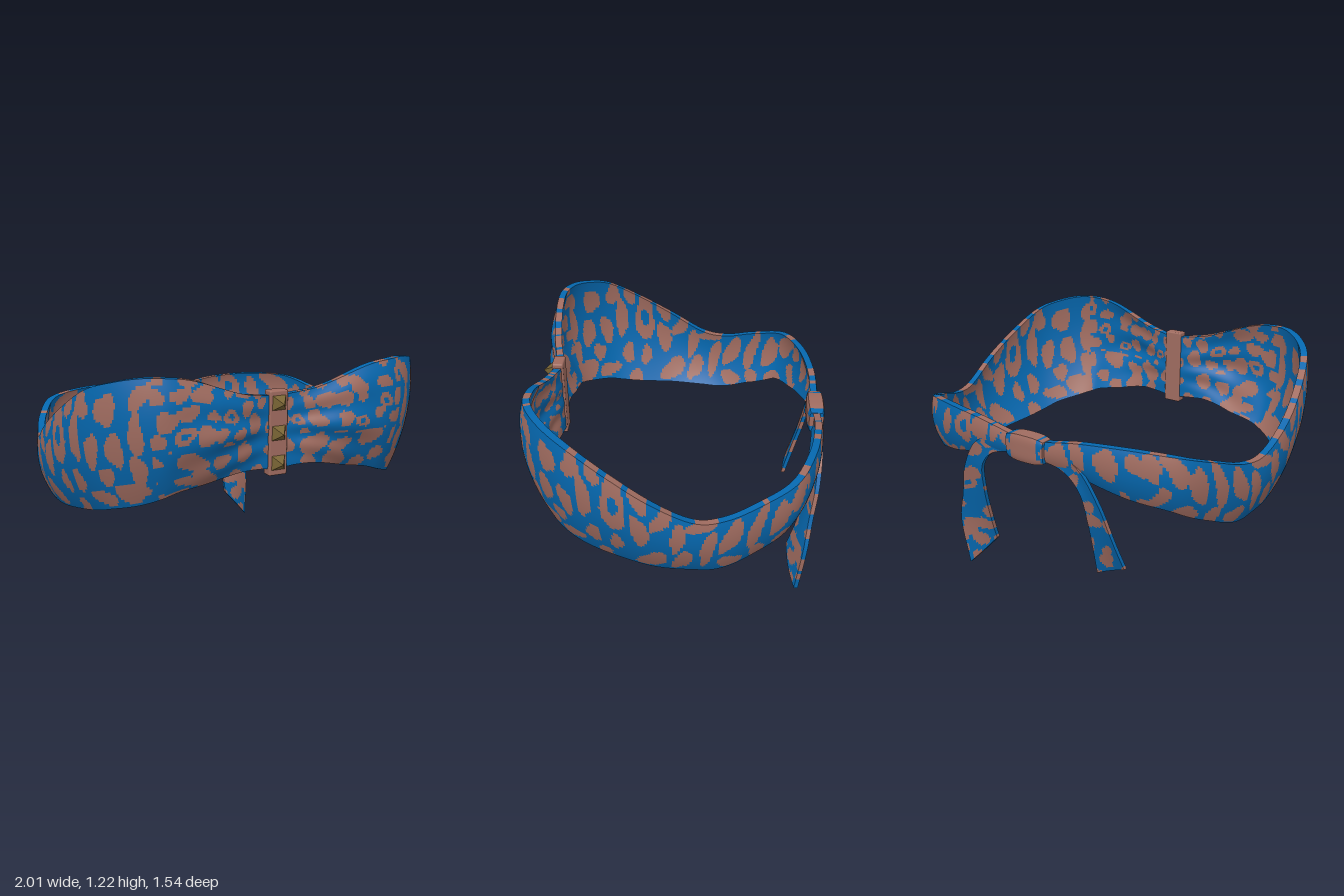
import * as THREE from 'three';
import { RoundedBoxGeometry } from 'three/addons/geometries/RoundedBoxGeometry.js';

const material = (name, color) => {
  const m = new THREE.MeshStandardMaterial({ color });
  m.name = name;
  return m;
};

// Repeatable pseudo-random value for a grid cell
const hash = (i, j, k) => {
  const h = Math.sin(i * 127.1 + j * 311.7 + k * 74.7) * 43758.5453;
  return h - Math.floor(h);
};

// Wobbly outline shared by all blotches
const wobble = (t, p) => 1 + 0.16 * Math.sin(2 * t + p) + 0.1 * Math.sin(3 * t - p);

// Irregular animal-print blotches: one wobbly ellipse per jittered cell, a few hollow
function spotted(s, y, w, h) {
  const a = s / w, b = y / h;
  for (let i = Math.floor(a) - 1; i <= Math.floor(a) + 1; i++) {
    for (let j = Math.floor(b) - 1; j <= Math.floor(b) + 1; j++) {
      const dx = a - (i + 0.5 + (hash(i, j, 1) - 0.5) * 0.5 + (j % 2) * 0.25);
      const dy = b - (j + 0.5 + (hash(i, j, 2) - 0.5) * 0.5);
      const r = (0.27 + 0.22 * hash(i, j, 4)) * wobble(Math.atan2(dy, dx), hash(i, j, 3) * 6.28);
      const d = Math.hypot(dx, dy);
      if (d < r && !(hash(i, j, 5) > 0.88 && d < r * 0.4)) return true;
    }
  }
  return false;
}

// Large blotches round the sides: z, y, half width, half height
const sideSpots = [
  [0.69, 1.14, 0.025, 0.06], [0.58, 1.07, 0.035, 0.08], [0.46, 1.08, 0.04, 0.06], [0.36, 1.06, 0.035, 0.05],
  [0.5, 0.86, 0.03, 0.09], [0.41, 0.92, 0.03, 0.13], [0.27, 0.9, 0.06, 0.13], [0.15, 0.94, 0.04, 0.06],
  [0.15, 0.76, 0.035, 0.1], [0.05, 0.83, 0.04, 0.06], [0.37, 0.69, 0.04, 0.05], [0.6, 0.67, 0.05, 0.05],
  [0.48, 0.62, 0.05, 0.04], [0.09, 0.56, 0.065, 0.06], [0.32, 0.54, 0.04, 0.04], [-0.03, 0.72, 0.032, 0.09],
  [-0.05, 0.57, 0.035, 0.08], [-0.14, 0.785, 0.08, 0.03], [-0.17, 0.64, 0.035, 0.1], [-0.27, 0.53, 0.05, 0.045],
  [-0.28, 0.7, 0.04, 0.1], [-0.4, 0.73, 0.035, 0.11], [-0.4, 0.56, 0.035, 0.05], [-0.51, 0.75, 0.035, 0.11],
  [-0.53, 0.61, 0.04, 0.04], [-0.6, 0.84, 0.035, 0.07], [-0.64, 0.7, 0.03, 0.06], [0.6, 0.88, 0.028, 0.09],
  [0.68, 0.96, 0.022, 0.09], [0.66, 0.79, 0.025, 0.06], [0.54, 0.74, 0.028, 0.05], [0.26, 0.66, 0.028, 0.06],
];

function sidePrint(p) {
  return sideSpots.some(([z, y, w, h], i) => {
    const dy = p.y - y, lean = z > 0.1 ? 0.1 : -0.25;
    const a = (p.z - z - lean * dy) / w, b = dy / h;
    const r = 1.06 * wobble(Math.atan2(b, a), i * 1.7), d = Math.hypot(a, b);
    return d < r && !(w === 0.06 && d < 0.4);
  });
}

// Fabric print on the band: small spots on the cups, tall ones on the sides, slanted ones behind
function bandPrint(p) {
  const angle = Math.atan2(p.x, p.z), s = angle * 0.87;
  if (Math.abs(angle) < 0.76) return p.y > 0.88 ? spotted(s + 5, p.y, 0.1, 0.09) : spotted(s + 5, p.y, 0.15, 0.11);
  if (p.z > -0.64) return sidePrint(p);
  return spotted(s - Math.sign(angle) * 0.3 * (p.y - 0.75), p.y + 0.07, 0.12, 0.2);
}
const tailPrint = (p) => spotted(p.x + 3 + 0.3 * p.y, p.y, 0.13, 0.11);
const knotPrint = (p) => Math.abs(p.x) < 0.085 || spotted(p.x, p.y, 0.08, 0.08);

// Grid surface; every cell takes one of two materials according to the print
function sheet(f, nu, nv, print, mats) {
  const pos = [], cells = [[], []];
  const p = new THREE.Vector3();
  for (let i = 0; i <= nu; i++) {
    for (let j = 0; j <= nv; j++) pos.push(...f(i / nu, j / nv).toArray());
  }
  for (let i = 0; i < nu; i++) {
    for (let j = 0; j < nv; j++) {
      const a = i * (nv + 1) + j, b = a + nv + 1;
      p.set(0, 0, 0);
      for (const k of [a, b, a + 1, b + 1]) {
        p.x += pos[3 * k] / 4;
        p.y += pos[3 * k + 1] / 4;
        p.z += pos[3 * k + 2] / 4;
      }
      cells[print(p) ? 1 : 0].push(a, b, b + 1, a, b + 1, a + 1);
    }
  }
  const g = new THREE.BufferGeometry();
  g.setAttribute('position', new THREE.Float32BufferAttribute(pos, 3));
  g.setIndex([...cells[0], ...cells[1]]);
  g.addGroup(0, cells[0].length, 0);
  g.addGroup(cells[0].length, cells[1].length, 1);
  g.computeVertexNormals();
  return new THREE.Mesh(g, mats);
}

// Thick cloth: P(u, v, s) with s = 0 on the inner face and 1 on the outer face
function cloth(name, P, nu, nv, print, mats, closed) {
  const group = new THREE.Group();
  group.name = name;
  const add = (part, f, a, b) => {
    const m = sheet(f, a, b, print, mats);
    m.name = name + part;
    group.add(m);
  };
  add('Outer', (u, v) => P(u, v, 1), nu, nv);
  add('Inner', (u, v) => P(u, 1 - v, 0), nu, nv);
  add('TopEdge', (u, v) => P(u, 1, 1 - v), nu, 1);
  add('BottomEdge', (u, v) => P(u, 0, v), nu, 1);
  if (!closed) {
    add('StartEdge', (u, v) => P(0, v, u), 1, nv);
    add('EndEdge', (u, v) => P(1, u, v), nv, 1);
  }
  return group;
}

export function createModel() {
  const model = new THREE.Group();
  const blue = material('blue fabric', 0x0567ae);
  const brown = material('rosy brown', 0xa06c60);
  const brass = material('dark brass', 0x7a6535);
  const fabric = [blue, brown];

  // Half of the band, front to back: x, z, bottom y, top y, bottom inset, top inset
  const half = [
    [0, 0.665, 0.71, 1.08, 0, 0], [0.1, 0.68, 0.72, 1.09, 0.01, 0],
    [0.2, 0.72, 0.72, 1.11, 0.04, 0.02], [0.35, 0.76, 0.69, 1.16, 0.085, 0.04],
    [0.5, 0.757, 0.665, 1.205, 0.09, 0.03], [0.62, 0.74, 0.635, 1.22, 0.09, 0.02],
    [0.73, 0.685, 0.605, 1.22, 0.09, 0.01], [0.83, 0.59, 0.575, 1.195, 0.09, 0],
    [0.91, 0.475, 0.545, 1.15, 0.1, 0], [0.965, 0.3, 0.51, 1.045, 0.1, 0],
    [0.995, 0.1, 0.485, 0.92, 0.085, 0], [0.98, -0.1, 0.47, 0.81, 0.07, 0],
    [0.945, -0.25, 0.47, 0.8, 0.055, 0], [0.885, -0.42, 0.53, 0.85, 0.05, 0],
    [0.78, -0.6, 0.61, 0.905, 0.05, 0.01], [0.55, -0.7, 0.665, 0.925, 0.04, 0.01],
    [0.3, -0.745, 0.735, 0.915, 0.03, 0.01], [0.1, -0.75, 0.78, 0.88, 0.01, 0.01],
    [0, -0.75, 0.78, 0.87, 0.01, 0.01],
  ];
  const loop = [...half, ...half.slice(1, -1).reverse().map(([x, ...r]) => [-x, ...r])];
  const loopCurve = (f) => new THREE.CatmullRomCurve3(loop.map((r) => new THREE.Vector3(...f(r))), true, 'catmullrom', 0.5);
  const path = loopCurve((r) => [r[0], 0, r[1]]);
  const heights = loopCurve((r) => [r[2], r[3], 0]);
  const insets = loopCurve((r) => [r[4], r[5], 0]);

  const bandPoint = (u, v, s) => {
    u %= 1;
    const p = path.getPoint(u), h = heights.getPoint(u), inset = insets.getPoint(u);
    const e = 0.002, t = path.getPoint((u + e) % 1).sub(path.getPoint((u + 1 - e) % 1)).normalize();
    // Bulge through bottom, middle and top, plus gathers fanning from the strap
    let d = -inset.x * 2 * (v - 0.5) * (v - 1) - inset.y * 2 * v * (v - 0.5);
    const ax = Math.abs(p.x);
    if (p.z > 0) {
      const fade = Math.max(0, Math.sin(Math.PI * Math.min(1, ax / 0.65)));
      d += 0.01 * fade * Math.sin(Math.PI * v) * Math.sin(15 * (v - 0.5) / (0.6 + ax) + 5 * ax);
    }
    d -= (1 - s) * 0.037;
    return new THREE.Vector3(p.x - t.z * d, h.x + (h.y - h.x) * v, p.z + t.x * d);
  };
  model.add(cloth('band', bandPoint, 576, 40, bandPrint, fabric, true));

  // Two loose tie ends hanging from the knot; v runs from edge a to edge b
  const tail = (name, a, b) => {
    const [ca, cb] = [a, b].map((e) => new THREE.CatmullRomCurve3(e.map((q) => new THREE.Vector3(...q))));
    const P = (u, v, s) => {
      const p = ca.getPoint(u).lerp(cb.getPoint(u), v);
      p.z += (s - 0.5) * 0.022 + 0.012 * Math.sin(v * Math.PI) * u;
      return p;
    };
    model.add(cloth(name, P, 64, 18, tailPrint, fabric, false));
  };
  tail('leftTail',
    [[0.08, 0.79, -0.72], [0.24, 0.74, -0.725], [0.31, 0.66, -0.72], [0.335, 0.5, -0.69], [0.34, 0.3, -0.64], [0.34, 0.18, -0.605]],
    [[0.08, 0.86, -0.72], [0.32, 0.8, -0.735], [0.43, 0.63, -0.725], [0.48, 0.45, -0.7], [0.525, 0.28, -0.68], [0.505, 0, -0.65]]);
  tail('rightTail',
    [[-0.08, 0.86, -0.72], [-0.3, 0.8, -0.735], [-0.42, 0.63, -0.725], [-0.48, 0.48, -0.71], [-0.51, 0.4, -0.7], [-0.545, 0.3, -0.68]],
    [[-0.08, 0.79, -0.72], [-0.24, 0.74, -0.725], [-0.31, 0.66, -0.72], [-0.335, 0.5, -0.69], [-0.335, 0.35, -0.65], [-0.33, 0.18, -0.605]]);

  // Knot at the back, slightly pinched toward its ends
  const knotPoint = (u, v, s) => {
    const x = 0.115 - 0.23 * u, full = 1 - 0.2 * Math.pow(Math.abs(2 * u - 1), 3);
    const round = 1 - 0.2 * Math.pow(Math.abs(2 * v - 1), 4);
    return new THREE.Vector3(x, 0.828 + (v - 0.5) * 0.14 * full, -0.725 - (s - 0.5) * 0.095 * full * round);
  };
  model.add(cloth('knot', knotPoint, 20, 14, knotPrint, fabric, false));

  // Strap gathering the front
  const strap = new THREE.Mesh(new RoundedBoxGeometry(0.1, 0.425, 0.06, 2, 0.008), brown);
  strap.name = 'frontStrap';
  strap.position.set(0, 0.893, 0.652);
  model.add(strap);

  // Pyramid studs on the strap
  const studShape = new THREE.ConeGeometry(0.051, 0.052, 4).rotateY(Math.PI / 4).rotateX(Math.PI / 2).toNonIndexed();
  studShape.computeVertexNormals();
  for (const y of [0.745, 0.895, 1.045]) {
    const stud = new THREE.Mesh(studShape, brass);
    stud.name = 'stud';
    stud.position.set(0, y, 0.708);
    model.add(stud);
  }
  return model;
}
